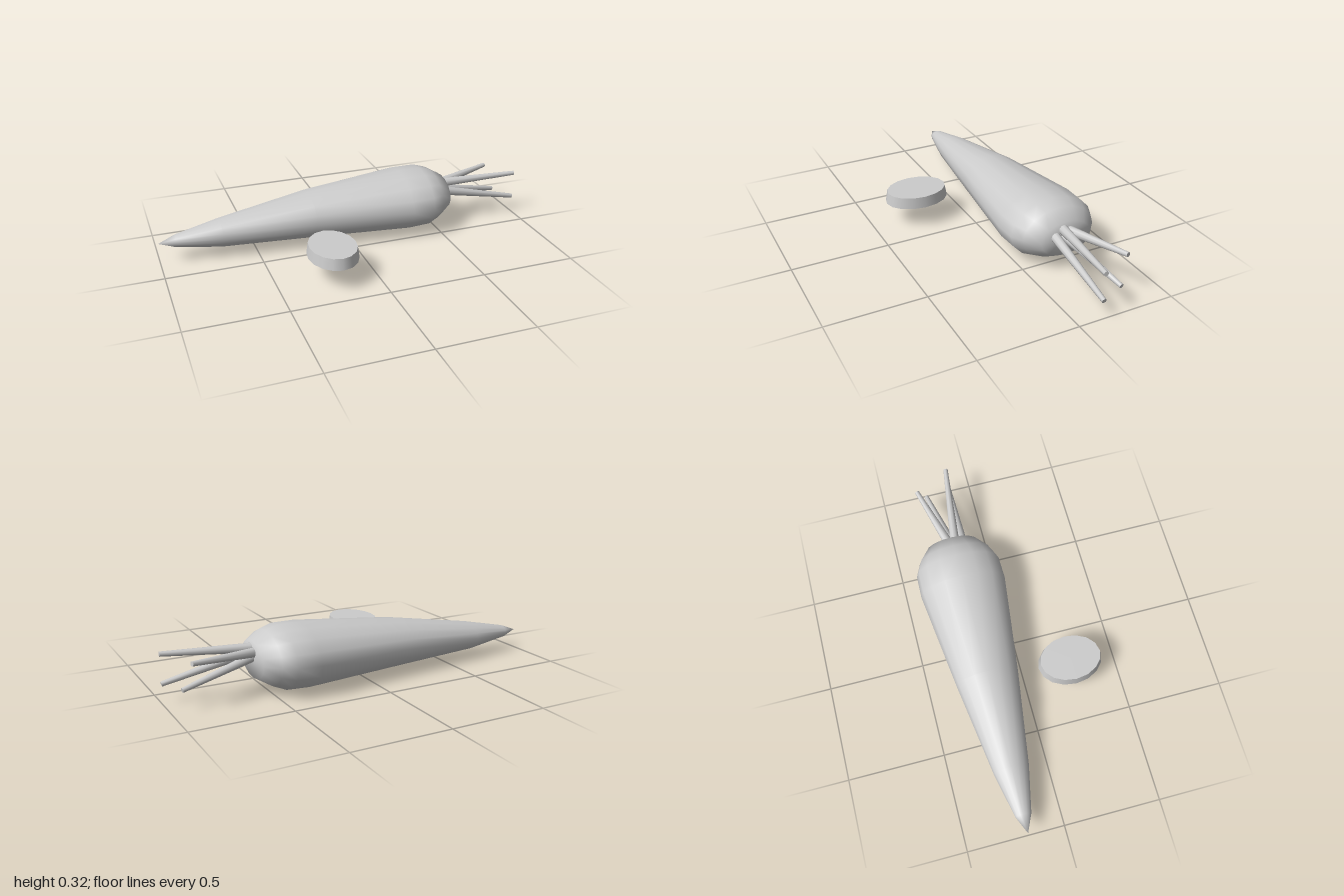
import * as THREE from 'three';
import { mergeVertices } from 'three/addons/utils/BufferGeometryUtils.js';

const SIDES = 16;
const AXIS_Z = -0.19;

// Root sections from tip to crown: [x, centre height, half height, half width]
const SECTIONS = [
  [-1, 0.104, 0, 0],
  [-0.91, 0.107, 0.032, 0.041],
  [-0.68, 0.117, 0.073, 0.091],
  [-0.2, 0.149, 0.123, 0.163],
  [0.32, 0.163, 0.159, 0.229],
  [0.44, 0.166, 0.156, 0.226],
  [0.505, 0.17, 0.133, 0.195],
  [0.575, 0.171, 0.091, 0.136],
];

function addMesh(group, name, geometry) {
  const mesh = new THREE.Mesh(geometry, new THREE.MeshStandardMaterial({ color: 0xcccccc }));
  mesh.name = name;
  group.add(mesh);
  return mesh;
}

// Cone rows moved onto the elliptical sections, shaded smoothly all round
function rootGeometry() {
  const rows = SECTIONS.length - 1;
  let geo = new THREE.CylinderGeometry(1, 0, rows, SIDES, rows);
  const pos = geo.attributes.position;
  for (let i = 0; i < pos.count; i++) {
    const row = Math.round(pos.getY(i) + rows / 2);
    const [x, cy, halfH, halfW] = SECTIONS[row];
    const a = pos.getX(i), b = pos.getZ(i);
    const len = Math.hypot(a, b) || 1;
    pos.setXYZ(i, x, cy - (a / len) * halfH, AXIS_Z + (b / len) * halfW);
  }
  geo.deleteAttribute('normal');
  geo.deleteAttribute('uv');
  geo = mergeVertices(geo);
  geo.computeVertexNormals();
  return geo;
}

// Tapered stalk between two points
function addStem(group, from, to) {
  const a = new THREE.Vector3(...from), b = new THREE.Vector3(...to);
  const dir = b.clone().sub(a);
  const stem = addMesh(group, 'stem', new THREE.CylinderGeometry(0.012, 0.025, dir.length(), 10));
  stem.position.copy(a).add(b).multiplyScalar(0.5);
  stem.quaternion.setFromUnitVectors(new THREE.Vector3(0, 1, 0), dir.normalize());
}

export function createModel() {
  const model = new THREE.Group();
  model.name = 'carrot';

  addMesh(model, 'root', rootGeometry());

  // Cut leaf stalks fanning out of the crown
  const stems = new THREE.Group();
  stems.name = 'stems';
  model.add(stems);
  addStem(stems, [0.55, 0.222, -0.175], [0.998, 0.241, -0.121]);
  addStem(stems, [0.55, 0.207, -0.2], [0.905, 0.233, -0.304]);
  addStem(stems, [0.55, 0.195, -0.132], [0.997, 0.098, -0.124]);
  addStem(stems, [0.55, 0.186, -0.182], [0.94, 0.1, -0.256]);

  // Oval slice lying beside the root
  const slice = addMesh(model, 'slice', new THREE.CylinderGeometry(0.158, 0.168, 0.058, SIDES));
  slice.scale.x = 0.75;
  slice.position.set(-0.21, 0.149, 0.25);

  return model;
}
